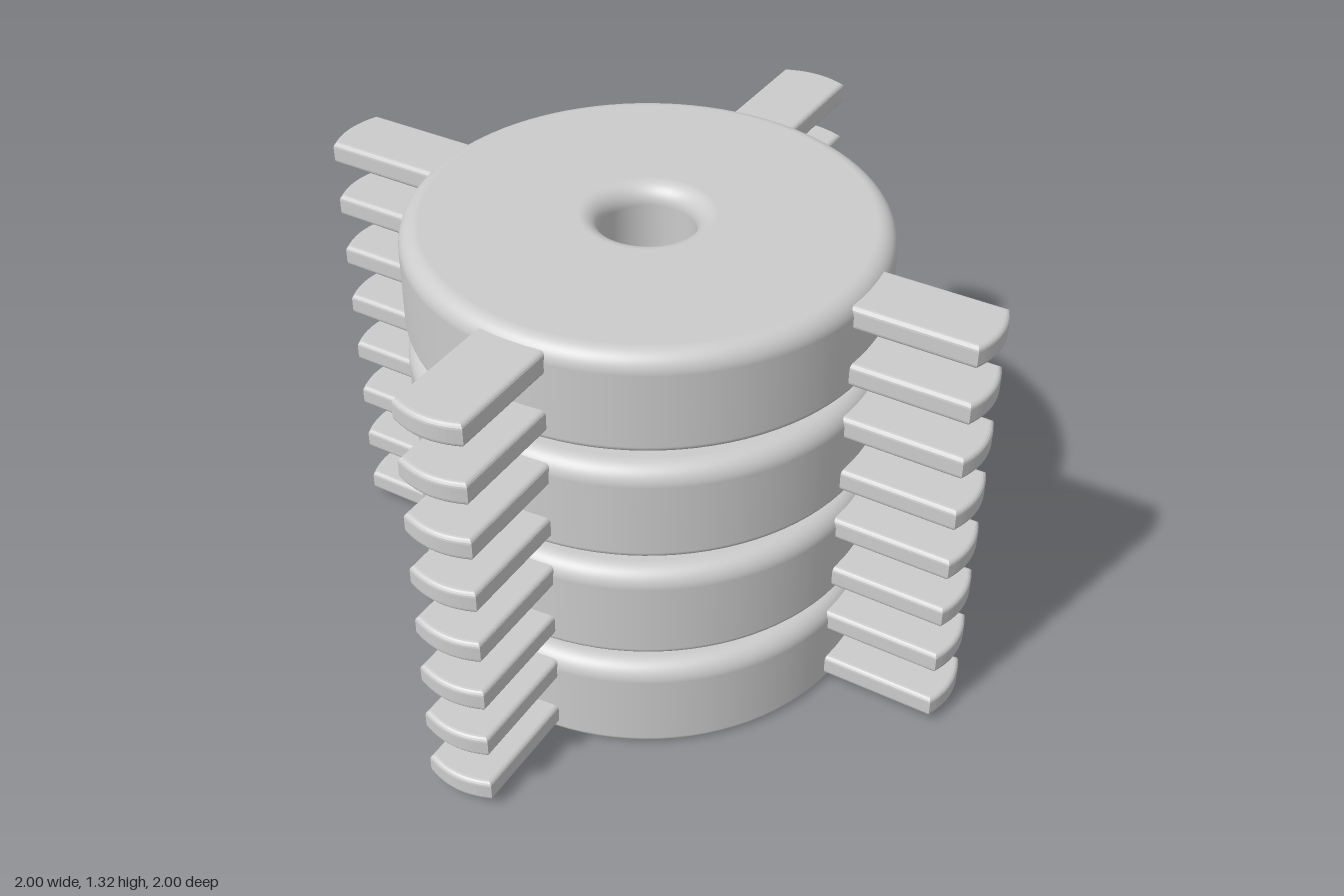
import * as THREE from 'three';

const LAYERS = 4, PITCH = 0.343, HEIGHT = 0.288;
const R = 0.658, BORE = 0.13;
const material = new THREE.MeshStandardMaterial({ color: 0xcccccc });

// Ring profile: wide fillets on top, tight ones underneath
function ringGeometry() {
  const top = 0.055, low = 0.02;
  const p = new THREE.Path();
  p.moveTo(BORE, HEIGHT / 2);
  p.lineTo(BORE, low);
  p.absarc(BORE + low, low, low, Math.PI, Math.PI * 1.5, false);
  p.absarc(R - low, low, low, -Math.PI / 2, 0, false);
  p.absarc(R - top, HEIGHT - top, top, 0, Math.PI / 2, false);
  p.absarc(BORE + top, HEIGHT - top, top, Math.PI / 2, Math.PI, false);
  p.lineTo(BORE, HEIGHT / 2);
  return new THREE.LatheGeometry(p.getPoints(10), 96);
}

// Flat radial tab with softened edges and a bowed tip, pointing along +x
function tabGeometry() {
  const bevel = 0.014, thick = 0.066, half = 0.1 - bevel;
  const tip = 1 - bevel, side = tip - 0.018;
  const s = new THREE.Shape();
  s.moveTo(0.6, -half);
  s.lineTo(side, -half);
  s.quadraticCurveTo(2 * tip - side, 0, side, half);
  s.lineTo(0.6, half);
  s.closePath();
  const g = new THREE.ExtrudeGeometry(s, {
    depth: thick - 2 * bevel, bevelEnabled: true, bevelThickness: bevel,
    bevelSize: bevel, bevelSegments: 4, curveSegments: 12,
  });
  g.translate(0, 0, bevel - thick / 2);
  g.rotateX(-Math.PI / 2);
  return g;
}

export function createModel() {
  const model = new THREE.Group();
  model.name = 'stackedRings';
  const ringGeo = ringGeometry(), tabGeo = tabGeometry();

  for (let i = 0; i < LAYERS; i++) {
    const layer = new THREE.Group();
    layer.name = `layer${i + 1}`;
    layer.position.y = i * PITCH + 0.002;

    const ring = new THREE.Mesh(ringGeo, material);
    ring.name = 'ring';
    layer.add(ring);

    // Two rows of four tabs
    for (const y of [0.061, 0.2325]) {
      for (let k = 0; k < 4; k++) {
        const tab = new THREE.Mesh(tabGeo, material);
        tab.name = 'tab';
        tab.position.y = y;
        tab.rotation.y = k * Math.PI / 2;
        layer.add(tab);
      }
    }
    model.add(layer);
  }
  return model;
}
